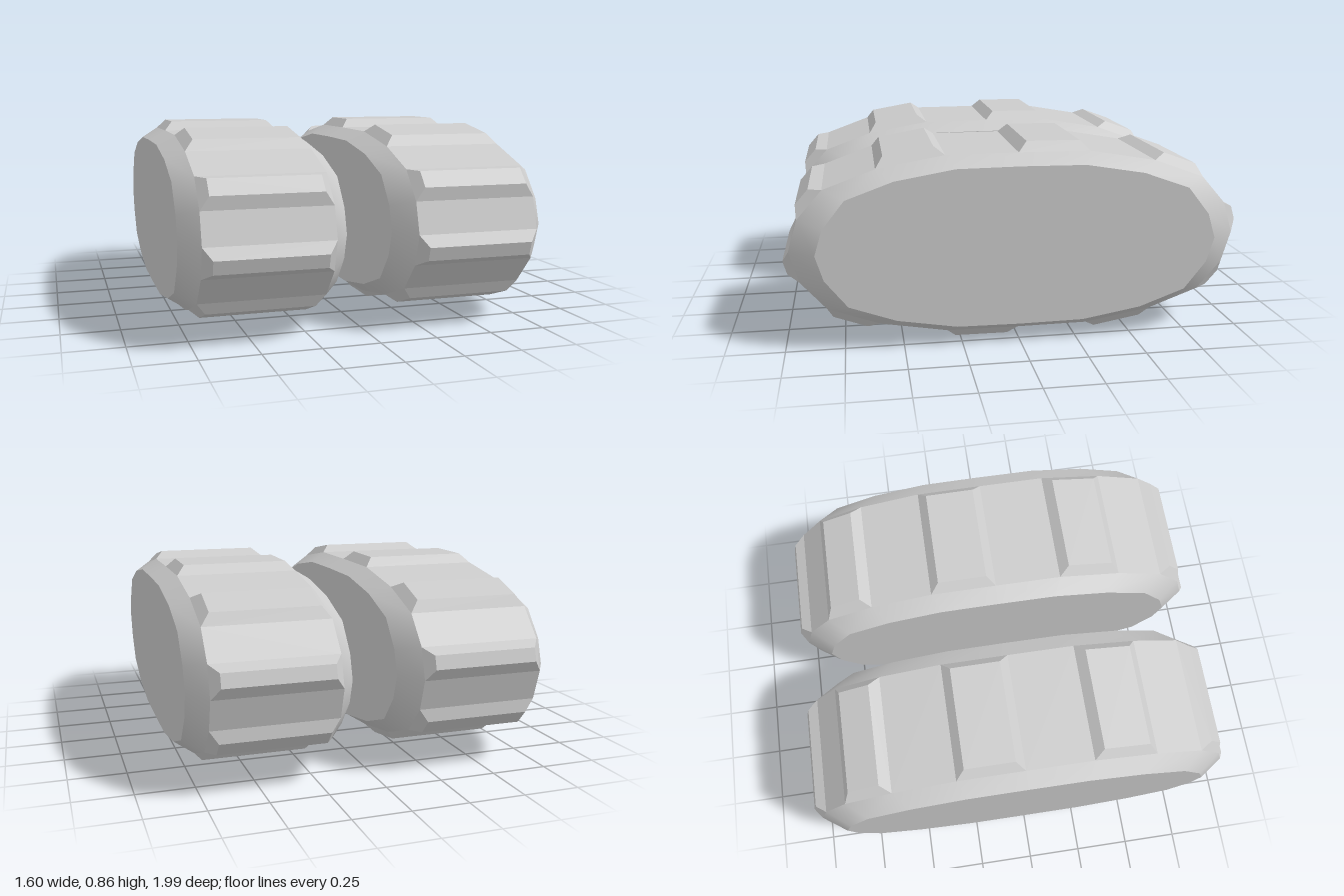
import * as THREE from 'three';
import { mergeVertices } from 'three/addons/utils/BufferGeometryUtils.js';

const material = new THREE.MeshStandardMaterial({ color: 0xcccccc });
const CAP_X = 0.35, TREAD_X = 0.273, LUG_X = 0.235, LUG_HEIGHT = 0.041, LUG_INSET = 0.04;

// Quarter outlines as [z, y], from the top centre towards the front tip
const treadQuarter = [[0, 0.39], [0.31, 0.388], [0.6, 0.338], [0.82, 0.258], [0.928, 0.135], [0.968, 0]];
const capQuarter = [[0, 0.346], [0.275, 0.343], [0.53, 0.3], [0.73, 0.228], [0.825, 0.108], [0.858, 0]];

// Mirror a quarter into a closed 20-point loop
function fullLoop(q) {
  const half = [...q, ...q.slice(0, -1).reverse().map(([z, y]) => [z, -y])];
  return [...half, ...half.slice(1, -1).reverse().map(([z, y]) => [-z, y])];
}

const at = (x, [z, y]) => [x, y, z];

// Geometry from quads; smooth ones share their corners
function quadGeometry(quads, smooth = false) {
  const positions = quads.flatMap(([a, b, c, d]) => [a, b, c, a, c, d]).flat();
  let geometry = new THREE.BufferGeometry();
  geometry.setAttribute('position', new THREE.Float32BufferAttribute(positions, 3));
  if (smooth) geometry = mergeVertices(geometry, 1e-4);
  geometry.computeVertexNormals();
  return geometry;
}

// Band of quads between two loops, x0 < x1
function band(loop0, x0, loop1, x1) {
  return loop0.map((p, i) => {
    const j = (i + 1) % loop0.length;
    return [at(x0, p), at(x0, loop0[j]), at(x1, loop1[j]), at(x1, loop1[i])];
  });
}

// Raised block with sloping sides on one tread segment
function lugQuads(a, b) {
  const dz = b[0] - a[0], dy = b[1] - a[1], len = Math.hypot(dz, dy);
  const t = [dz / len, dy / len], n = [-t[1], t[0]];
  if (n[0] * a[0] + n[1] * a[1] < 0) n.forEach((v, k) => { n[k] = -v; });
  const raise = (p, s) => [0, 1].map((k) => p[k] + n[k] * LUG_HEIGHT + t[k] * LUG_INSET * s);
  const corners = (p, q, x) => [at(-x, p), at(-x, q), at(x, q), at(x, p)];
  const base = corners(a, b, TREAD_X);
  const top = corners(raise(a, 1), raise(b, -1), LUG_X);
  const sides = base.map((p, i) => [p, base[(i + 1) % 4], top[(i + 1) % 4], top[i]]);
  return [top, ...sides];
}

function createTrack(name) {
  const track = new THREE.Group();
  track.name = name;
  const add = (partName, geometry) => {
    const mesh = new THREE.Mesh(geometry, material);
    mesh.name = partName;
    track.add(mesh);
  };
  const tread = fullLoop(treadQuarter), cap = fullLoop(capQuarter);

  // Faceted belt, smooth shoulders
  add('treadBelt', quadGeometry(band(tread, -TREAD_X, tread, TREAD_X)));
  add('leftShoulder', quadGeometry(band(tread, TREAD_X, cap, CAP_X), true));
  add('rightShoulder', quadGeometry(band(cap, -CAP_X, tread, -TREAD_X), true));

  // Flat side plates
  const shape = new THREE.Shape(cap.map(([z, y]) => new THREE.Vector2(-z, y)));
  for (const side of [1, -1]) {
    const plate = new THREE.ShapeGeometry(shape);
    plate.rotateY(side * Math.PI / 2);
    plate.translate(side * CAP_X, 0, 0);
    add(side > 0 ? 'leftSidePlate' : 'rightSidePlate', plate);
  }

  // A lug on every other segment
  for (let i = 0; i < tread.length; i += 2) {
    const k = (i + tread.length - 1) % tread.length;
    add('treadLug', quadGeometry(lugQuads(tread[k], tread[i])));
  }
  return track;
}

export function createModel() {
  const model = new THREE.Group();
  model.name = 'trackPair';
  for (const side of [1, -1]) {
    const track = createTrack(side > 0 ? 'leftTrack' : 'rightTrack');
    track.position.set(side * 0.45, 0.431, 0);
    model.add(track);
  }
  return model;
}
